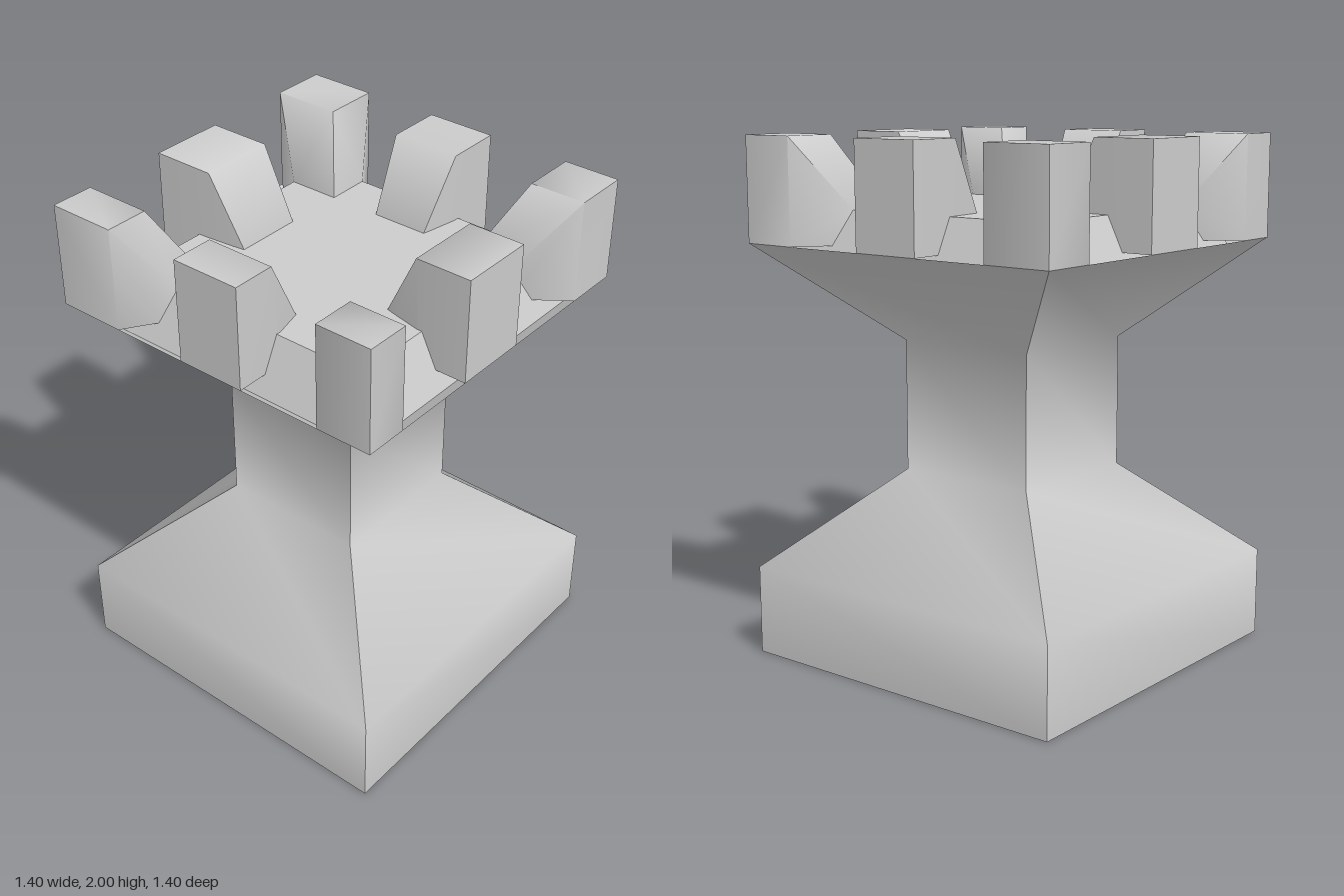
import * as THREE from 'three';
import { toCreasedNormals } from 'three/addons/utils/BufferGeometryUtils.js';
import { ConvexGeometry } from 'three/addons/geometries/ConvexGeometry.js';

const HALF = 0.7, FLOOR = 1.73, RIM = 1.6, TOP = 2;
const material = new THREE.MeshStandardMaterial({ color: 0xcccccc });

export function createModel() {
  const group = new THREE.Group();
  const add = (name, geometry, mat = material) => {
    const mesh = new THREE.Mesh(geometry, mat);
    mesh.name = name;
    group.add(mesh);
    return mesh;
  };
  const hull = (name, points) =>
    add(name, toCreasedNormals(new ConvexGeometry(points.map((p) => new THREE.Vector3(...p))), 1.1));

  // Square tower: plinth, waist, flared head, moat and raised floor (half width, height)
  const profile = [
    [HALF, 0], [HALF, 0.345], [0.29, 0.72], [0.29, 1.225], [HALF, RIM],
    [0.612, 1.53], [0.513, FLOOR], [0, FLOOR],
  ].map(([r, y]) => new THREE.Vector2(r * Math.SQRT2, y));
  const body = new THREE.LatheGeometry(profile, 4, Math.PI / 4);
  add('towerBody', toCreasedNormals(body, 0.9));

  // Underside with a shallow pyramid pit
  const pit = { x: 0.32, z: -0.08, w: 0.4, d: 0.5, h: 0.15 };
  const rect = (path, x, y, w, h) => path
    .moveTo(x - w / 2, y - h / 2).lineTo(x + w / 2, y - h / 2)
    .lineTo(x + w / 2, y + h / 2).lineTo(x - w / 2, y + h / 2).closePath();
  const base = new THREE.Shape();
  rect(base, 0, 0, 2 * HALF, 2 * HALF);
  const hole = new THREE.Path();
  rect(hole, pit.x, pit.z, pit.w, pit.d);
  base.holes.push(hole);
  add('underside', new THREE.ShapeGeometry(base).rotateX(Math.PI / 2));
  const pitGeometry = new THREE.ConeGeometry(Math.SQRT1_2, 1, 4, 1, true, Math.PI / 4)
    .translate(0, 0.5, 0).scale(pit.w, pit.h, pit.d).translate(pit.x, 0, pit.z);
  add('undersidePit', toCreasedNormals(pitGeometry, 0.3),
    new THREE.MeshStandardMaterial({ color: 0xcccccc, side: THREE.BackSide }));

  // Corner merlons: square flat top, sloping down to a wider inner foot
  const xSides = [{ s: -1, flat: 0.53, inner: 0.38 }, { s: 1, flat: 0.48, inner: 0.34 }];
  const zSides = [{ s: -1, flat: 0.43, inner: 0.31 }, { s: 1, flat: 0.48, inner: 0.34 }];
  const notch = 0.513;
  for (const X of xSides) for (const Z of zSides) {
    const at = (x, y, z) => [X.s * x, y, Z.s * z];
    const points = [];
    for (const y of [RIM, TOP]) {
      points.push(at(HALF, y, HALF), at(X.flat, y, HALF), at(HALF, y, Z.flat), at(X.flat, y, Z.flat));
    }
    for (const y of [RIM, FLOOR]) {
      points.push(at(X.inner, y, notch), at(X.inner, y, Z.inner), at(notch, y, Z.inner));
    }
    hull('cornerMerlon', points);
  }

  // Middle merlons: a0..a1 is the span along the wall, narrowing at the inner foot
  const middle = (name, a0, a1, b0, b1, inner, flat, place) => {
    const points = [];
    for (const [a, b] of [[a0, b0], [a1, b1]]) {
      points.push(place(a, RIM, HALF), place(a, TOP, HALF), place(a, TOP, flat),
        place(a, RIM, notch), place(a, FLOOR, notch - 0.02),
        place(b, RIM, inner), place(b, FLOOR, inner));
    }
    hull(name, points);
  };
  middle('frontMerlon', -0.19, 0.11, -0.155, 0.1, 0.34, 0.48, (a, y, d) => [a, y, d]);
  middle('backMerlon', -0.19, 0.11, -0.17, 0.1, 0.31, 0.45, (a, y, d) => [a, y, -d]);
  middle('leftMerlon', -0.125, 0.15, -0.105, 0.12, 0.34, 0.48, (a, y, d) => [d, y, a]);
  middle('rightMerlon', -0.125, 0.15, -0.105, 0.12, 0.38, 0.53, (a, y, d) => [-d, y, a]);

  return group;
}
